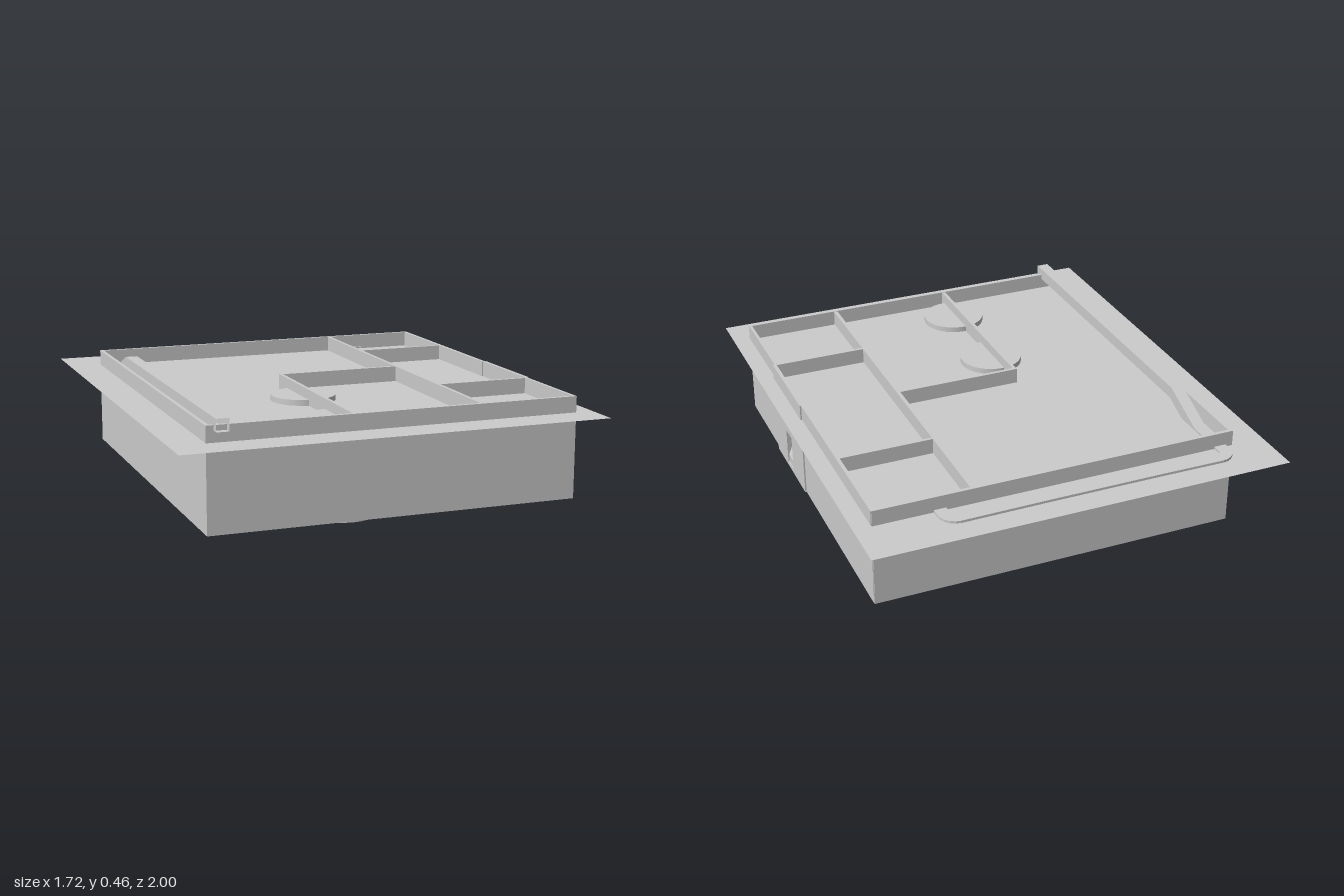
import * as THREE from 'three';

const mat = new THREE.MeshStandardMaterial({ color: 0xcccccc, flatShading: true, side: THREE.DoubleSide });
const smooth = new THREE.MeshStandardMaterial({ color: 0xcccccc });

function add(parent, name, geometry, material = mat) {
  const mesh = new THREE.Mesh(geometry, material);
  mesh.name = name;
  parent.add(mesh);
  return mesh;
}

// Box given by its limits on each axis
function block(parent, name, x0, x1, y0, y1, z0, z1) {
  const mesh = add(parent, name, new THREE.BoxGeometry(x1 - x0, y1 - y0, z1 - z0));
  mesh.position.set((x0 + x1) / 2, (y0 + y1) / 2, (z0 + z1) / 2);
  return mesh;
}

// Open square duct swept along a list of points
function squareDuct(points, half) {
  const pos = [], idx = [], up = new THREE.Vector3(0, 1, 0);
  points.forEach((p, i) => {
    const a = points[Math.max(i - 1, 0)], b = points[Math.min(i + 1, points.length - 1)];
    const tIn = p.clone().sub(a).normalize(), tOut = b.clone().sub(p).normalize();
    const t = tIn.add(tOut).normalize();
    const side = t.clone().cross(up).normalize();
    const lift = side.clone().cross(t);
    for (const [u, s] of [[1, 1], [-1, 1], [-1, -1], [1, -1]]) {
      const v = p.clone().addScaledVector(lift, u * half).addScaledVector(side, s * half);
      pos.push(v.x, v.y, v.z);
    }
    if (i === 0) return;
    for (let j = 0; j < 4; j++) {
      const k = (j + 1) % 4, n = 4 * i, m = n - 4;
      idx.push(m + j, m + k, n + k, m + j, n + k, n + j);
    }
  });
  const g = new THREE.BufferGeometry();
  g.setAttribute('position', new THREE.Float32BufferAttribute(pos, 3));
  g.setIndex(idx);
  const flat = g.toNonIndexed();
  flat.computeVertexNormals();
  return flat;
}

// Upright panel in the z-y plane with the hatch opening cut through it
function hatchPanel(z0, z1, y0, y1, x0, x1) {
  const rect = (Type, a, b, c, d) => new Type([[-b, c], [-a, c], [-a, d], [-b, d]].map(q => new THREE.Vector2(...q)));
  const shape = rect(THREE.Shape, z0, z1, y0, y1);
  shape.holes.push(rect(THREE.Path, 0.225, 0.30, 0.035, 0.19));
  const g = new THREE.ExtrudeGeometry(shape, { depth: x1 - x0, bevelEnabled: false });
  return g.rotateY(Math.PI / 2).translate(x0, 0, 0);
}

export function createModel() {
  const model = new THREE.Group();
  model.name = 'sunkenTray';
  const bottom = 0.018, top = 0.43;

  // Ground sheet through the body
  const sheet = add(model, 'groundSheet', new THREE.PlaneGeometry(1.72, 2).rotateX(-Math.PI / 2));
  sheet.position.y = 0.365;

  // Floor slab and outer walls
  const shell = new THREE.Group();
  shell.name = 'outerWalls';
  model.add(shell);
  block(shell, 'floorSlab', -0.72, 0.787, bottom, 0.03, -0.795, 0.86);
  block(shell, 'frontWall', -0.72, 0.787, bottom, top, 0.845, 0.86);
  block(shell, 'backWall', -0.72, 0.787, bottom, top, -0.795, -0.78);
  block(shell, 'leftWall', -0.72, -0.705, bottom, top, -0.79, 0.855);
  block(shell, 'rightWallBack', 0.775, 0.789, bottom, top, -0.79, 0.06);
  block(shell, 'rightWallFront', 0.775, 0.787, bottom, top, 0.45, 0.855);

  // Raised right panel with its hatch
  const hatch = new THREE.Group();
  hatch.name = 'hatch';
  model.add(hatch);
  add(hatch, 'hatchWall', hatchPanel(0.06, 0.45, bottom, top, 0.78, 0.795));
  add(hatch, 'hatchLining', hatchPanel(0.20, 0.325, 0.025, 0.21, 0.73, 0.785));
  const wedge = new THREE.Shape([[0.725, 0.035], [0.79, 0.035], [0.79, 0.07], [0.74, 0.19], [0.725, 0.19]]
    .map(q => new THREE.Vector2(...q)));
  add(hatch, 'hatchSlope', new THREE.ExtrudeGeometry(wedge, { depth: 0.075, bevelEnabled: false }).translate(0, 0, 0.225));

  // Inner partitions: x0, x1, z0, z1
  const partitions = new THREE.Group();
  partitions.name = 'partitions';
  model.add(partitions);
  [
    [0.378, 0.393, -0.785, 0.85],
    [0.385, 0.78, -0.395, -0.382],
    [0.385, 0.78, 0.442, 0.456],
    [-0.147, 0.385, 0.015, 0.03],
    [-0.147, -0.132, 0.015, 0.85],
  ].forEach(([x0, x1, z0, z1]) => block(partitions, 'partition', x0, x1, 0.025, top - 0.001, z0, z1));

  // Two round columns passing through floor and sheet
  for (const z of [0.25, 0.685]) {
    const column = add(model, 'roundColumn', new THREE.CylinderGeometry(0.132, 0.132, 0.388, 48), smooth);
    column.position.set(-0.125, 0.194, z);
  }

  // Small pegs under the left side
  for (const z of [-0.16, -0.405]) {
    const peg = add(model, 'peg', new THREE.CylinderGeometry(0.009, 0.009, 0.05, 12), smooth);
    peg.position.set(-0.65, 0.03, z);
  }

  // Square duct: along the left side, down through the back wall, across and back in
  const V = (x, y, z) => new THREE.Vector3(x, y, z);
  const path = [V(-0.665, 0.434, 0.89), V(-0.665, 0.434, -0.43), V(-0.665, 0.35, -0.63), V(-0.665, 0.35, -0.83)];
  const bend = (cx, from) => {
    for (let i = 1; i <= 5; i++) {
      const a = from - (i * Math.PI) / 10;
      path.push(V(cx + 0.045 * Math.cos(a), 0.35, -0.83 - 0.045 * Math.sin(a)));
    }
  };
  bend(-0.62, Math.PI);
  path.push(V(-0.35, 0.35, -0.872), V(0.12, 0.35, -0.872), V(0.475, 0.35, -0.875));
  bend(0.475, Math.PI / 2);
  path.push(V(0.52, 0.35, -0.77));
  add(model, 'squareDuct', squareDuct(path, 0.025));

  return model;
}
